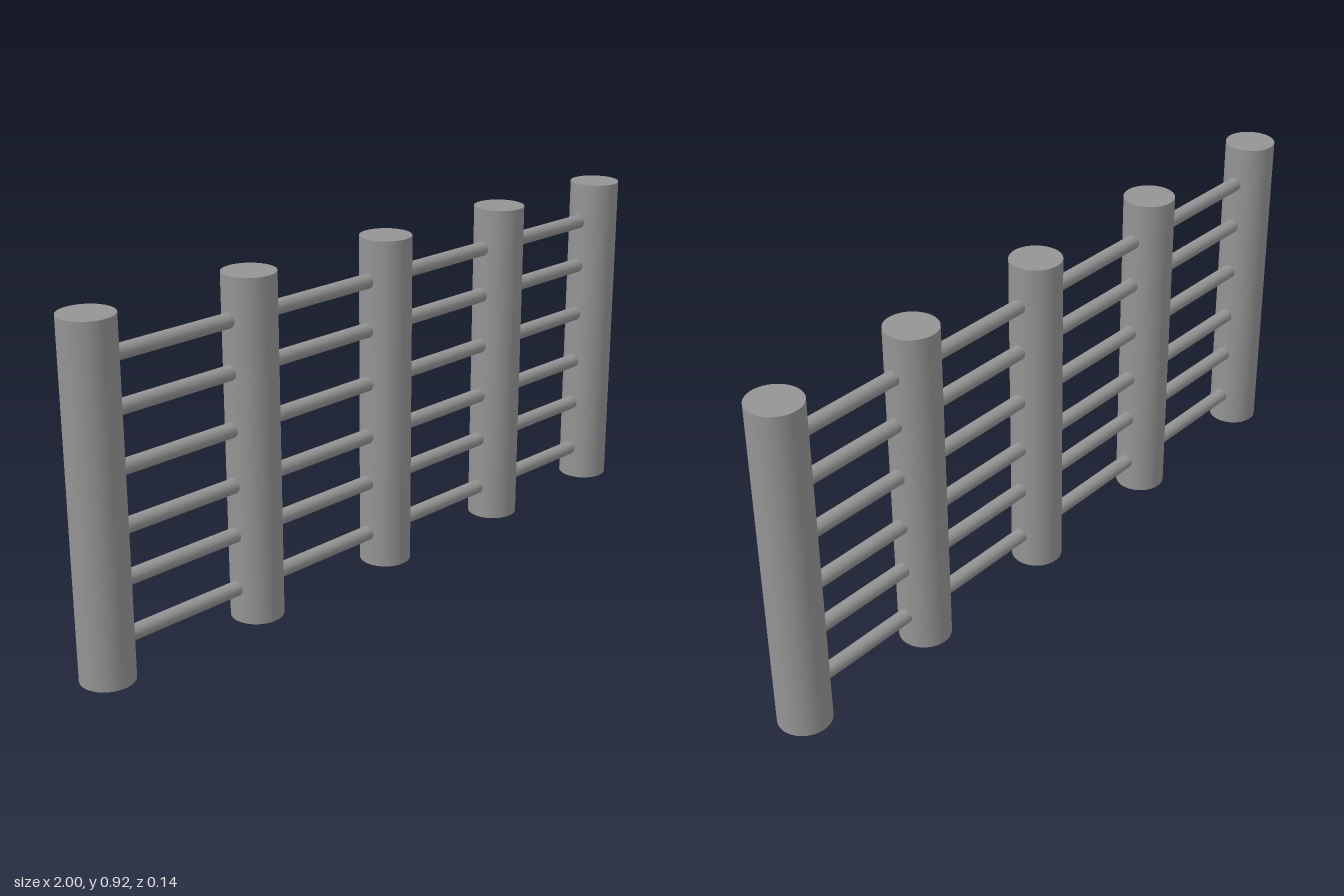
import * as THREE from 'three';

export function createModel() {
  const model = new THREE.Group();
  model.name = 'fence';
  const material = new THREE.MeshStandardMaterial({ color: 0x949494 });

  const height = 0.924;
  const postX = [-0.93, -0.443, 0.036, 0.493, 0.928];
  const railY = [0.093, 0.243, 0.378, 0.528, 0.678, 0.812];

  // Upright round posts, unevenly spaced
  const postGeometry = new THREE.CylinderGeometry(0.07, 0.07, height, 48);
  postX.forEach((x, i) => {
    const post = new THREE.Mesh(postGeometry, material);
    post.name = `post${i + 1}`;
    post.position.set(x, height / 2, 0);
    model.add(post);
  });

  // Thin horizontal rails running through all the posts
  const railGeometry = new THREE.CylinderGeometry(0.02, 0.02, 1.86, 32);
  railGeometry.rotateZ(Math.PI / 2);
  railY.forEach((y, i) => {
    const rail = new THREE.Mesh(railGeometry, material);
    rail.name = `rail${i + 1}`;
    rail.position.y = y;
    model.add(rail);
  });

  return model;
}
